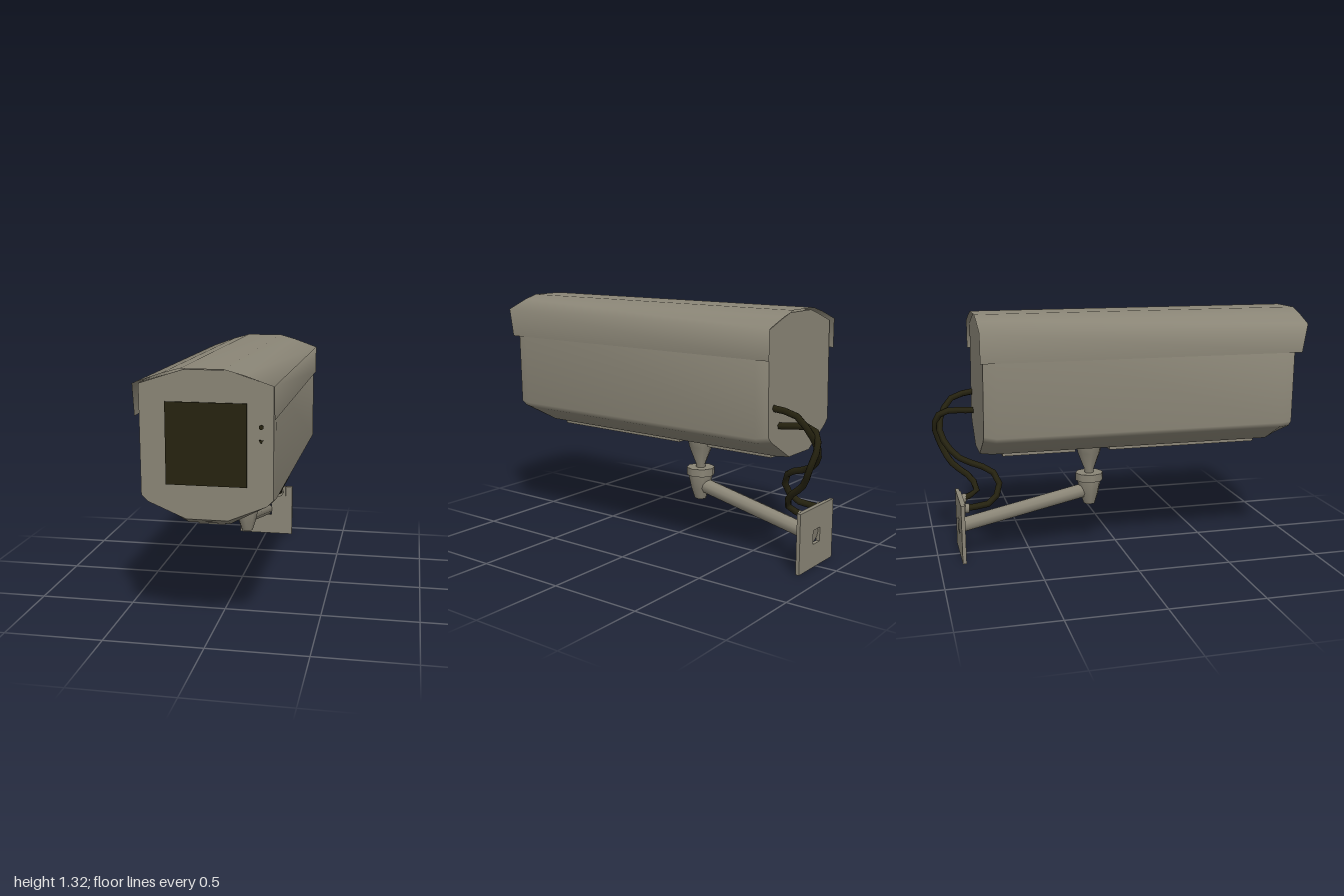
import * as THREE from 'three';
import { toCreasedNormals } from 'three/addons/utils/BufferGeometryUtils.js';

const mat = (name, color, side = THREE.FrontSide) => {
  const m = new THREE.MeshStandardMaterial({ color, side });
  m.name = name;
  return m;
};

// Skin through rings of [x, y, z] points (counter-clockwise seen from +z, back to front)
function skin(rings, closed) {
  const n = rings[0].length, index = [];
  const steps = closed ? n : n - 1;
  for (let j = 0; j < rings.length - 1; j++) {
    for (let i = 0; i < steps; i++) {
      const a = j * n + i, b = j * n + (i + 1) % n;
      index.push(a, b, b + n, a, b + n, a + n);
    }
  }
  const g = new THREE.BufferGeometry();
  g.setAttribute('position', new THREE.Float32BufferAttribute(rings.flat(2), 3));
  g.setIndex(index);
  g.computeVertexNormals();
  return g;
}

// Flat fan closing one ring
function cap(ring, front) {
  const index = [];
  for (let i = 1; i < ring.length - 1; i++) index.push(0, front ? i : i + 1, front ? i + 1 : i);
  const g = new THREE.BufferGeometry();
  g.setAttribute('position', new THREE.Float32BufferAttribute(ring.flat(), 3));
  g.setIndex(index);
  g.computeVertexNormals();
  return g;
}

// Mirror a right-hand outline (bottom to top) into a full one
const mirror = (half) => [...half, ...half.map(([x, y]) => [-x, y]).reverse()];

export function createModel() {
  const model = new THREE.Group();
  const metal = mat('warm grey metal', 0x8a8576);
  const sheet = mat('warm grey sheet', 0x8a8576, THREE.DoubleSide);
  sheet.name = 'warm grey metal sheet';
  const dark = mat('dark olive', 0x262310);

  const add = (name, geometry, material, x = 0, y = 0, z = 0, parent = model) => {
    const m = new THREE.Mesh(geometry, material);
    m.name = name;
    m.position.set(x, y, z);
    parent.add(m);
    return m;
  };
  const lathe = (pts, sides) =>
    toCreasedNormals(new THREE.LatheGeometry(pts.map((p) => new THREE.Vector2(...p)), sides), 0.9);

  // Housing: bevelled at both ends
  const ring = (z, w, low, corner) => mirror([
    [0.1, low], [w - 0.03, corner - 0.015], [w, corner + 0.015],
    [w, 1.235], [0.18, 1.278], [0.1, 1.303],
  ]).map(([x, y]) => [x, y, z + (y - 0.6) * 0.015]);
  const rings = [
    ring(-0.765, 0.3, 0.582, 0.7),
    ring(-0.7, 0.317, 0.573, 0.69),
    ring(0.86, 0.317, 0.573, 0.69),
    ring(0.915, 0.312, 0.603, 0.695),
  ];
  const housing = new THREE.Group();
  housing.name = 'housing';
  model.add(housing);
  add('housingShell', skin(rings, true), metal, 0, 0, 0, housing);
  add('housingBack', cap(rings[0], false), metal, 0, 0, 0, housing);
  add('housingFront', cap(rings[3], true), metal, 0, 0, 0, housing);

  // Sun hood: open sheet with a raked front edge
  const hoodOutline = mirror([[0.322, 1.09], [0.322, 1.243], [0.19, 1.29], [0.1, 1.315]]);
  add('hood', skin([
    hoodOutline.map(([x, y]) => [x, y, -0.772]),
    hoodOutline.map(([x, y]) => [x, y, 1 - (1.315 - y) * 0.17]),
  ], false), sheet);

  // Window and two small indicator holes
  add('window', new THREE.BoxGeometry(0.38, 0.387, 0.009), dark, 0, 0.962, 0.925);
  for (const [y, sides] of [[1.05, 6], [0.985, 3]]) {
    add('indicator', new THREE.CylinderGeometry(0.012, 0.012, 0.008, sides).rotateX(Math.PI / 2),
      dark, 0.255, y, 0.924);
  }

  // Rails under the housing
  for (const [z0, z1] of [[-0.05, 0.8], [-0.64, -0.24]]) {
    add('rail', new THREE.BoxGeometry(0.13, 0.018, z1 - z0), metal, 0, 0.559, (z0 + z1) / 2);
    add('railWeb', new THREE.BoxGeometry(0.07, 0.02, z1 - z0 - 0.02), metal, 0, 0.572, (z0 + z1) / 2);
  }

  // Swivel joint: neck, collar and cup
  add('swivelNeck', lathe([[0.026, 0.36], [0.026, 0.43], [0.064, 0.53], [0.074, 0.578]], 8),
    metal, 0, 0, -0.15);
  add('swivelCollar', new THREE.CylinderGeometry(0.078, 0.078, 0.042, 8), metal, 0, 0.392, -0.15);
  add('swivelCup', lathe([[0, 0.225], [0.032, 0.235], [0.05, 0.29], [0.066, 0.36], [0.066, 0.39]], 8),
    metal, 0, 0, -0.15);

  // Sloping arm
  const from = new THREE.Vector3(0, 0.318, -0.15), to = new THREE.Vector3(0, 0.162, -0.866);
  const arm = add('arm', new THREE.CylinderGeometry(0.04, 0.04, from.distanceTo(to), 10), metal);
  arm.position.copy(from).lerp(to, 0.5);
  arm.quaternion.setFromUnitVectors(new THREE.Vector3(0, 1, 0), from.clone().sub(to).normalize());

  // Wall plate with a square opening behind the arm
  const plate = new THREE.Shape([[-0.172, 0], [0.172, 0], [0.172, 0.32], [-0.172, 0.32]]
    .map((p) => new THREE.Vector2(...p)));
  plate.holes.push(new THREE.Path([[-0.035, 0.125], [-0.035, 0.2], [0.035, 0.2], [0.035, 0.125]]
    .map((p) => new THREE.Vector2(...p))));
  add('wallPlate', new THREE.ExtrudeGeometry(plate, { depth: 0.02, bevelEnabled: false }),
    metal, 0, 0, -0.88);
  add('cableBracket', new THREE.BoxGeometry(0.26, 0.062, 0.008), metal, 0, 0.287, -0.857);

  // Cables hanging from the housing back to the wall plate
  const cables = [
    [[0.25, 0.855, -0.75], [0.23, 0.83, -0.87], [0.2, 0.745, -0.935], [0.14, 0.65, -0.95],
      [0.05, 0.535, -0.87], [-0.02, 0.455, -0.69], [-0.05, 0.385, -0.66], [-0.08, 0.305, -0.71],
      [-0.095, 0.285, -0.86]],
    [[0.2, 0.757, -0.75], [0.17, 0.757, -0.94], [0.19, 0.69, -0.975], [0.21, 0.57, -0.945],
      [0.17, 0.47, -0.89], [0.13, 0.385, -0.79], [0.1, 0.32, -0.77], [0.09, 0.285, -0.86]],
  ];
  for (const pts of cables) {
    const curve = new THREE.CatmullRomCurve3(pts.map((p) => new THREE.Vector3(...p)));
    add('cable', new THREE.TubeGeometry(curve, 16, 0.018, 5), dark);
    const [x, y] = pts[pts.length - 1];
    add('cableSocket', new THREE.CylinderGeometry(0.027, 0.027, 0.03, 8).rotateX(Math.PI / 2),
      metal, x, y, -0.845);
  }

  return model;
}
